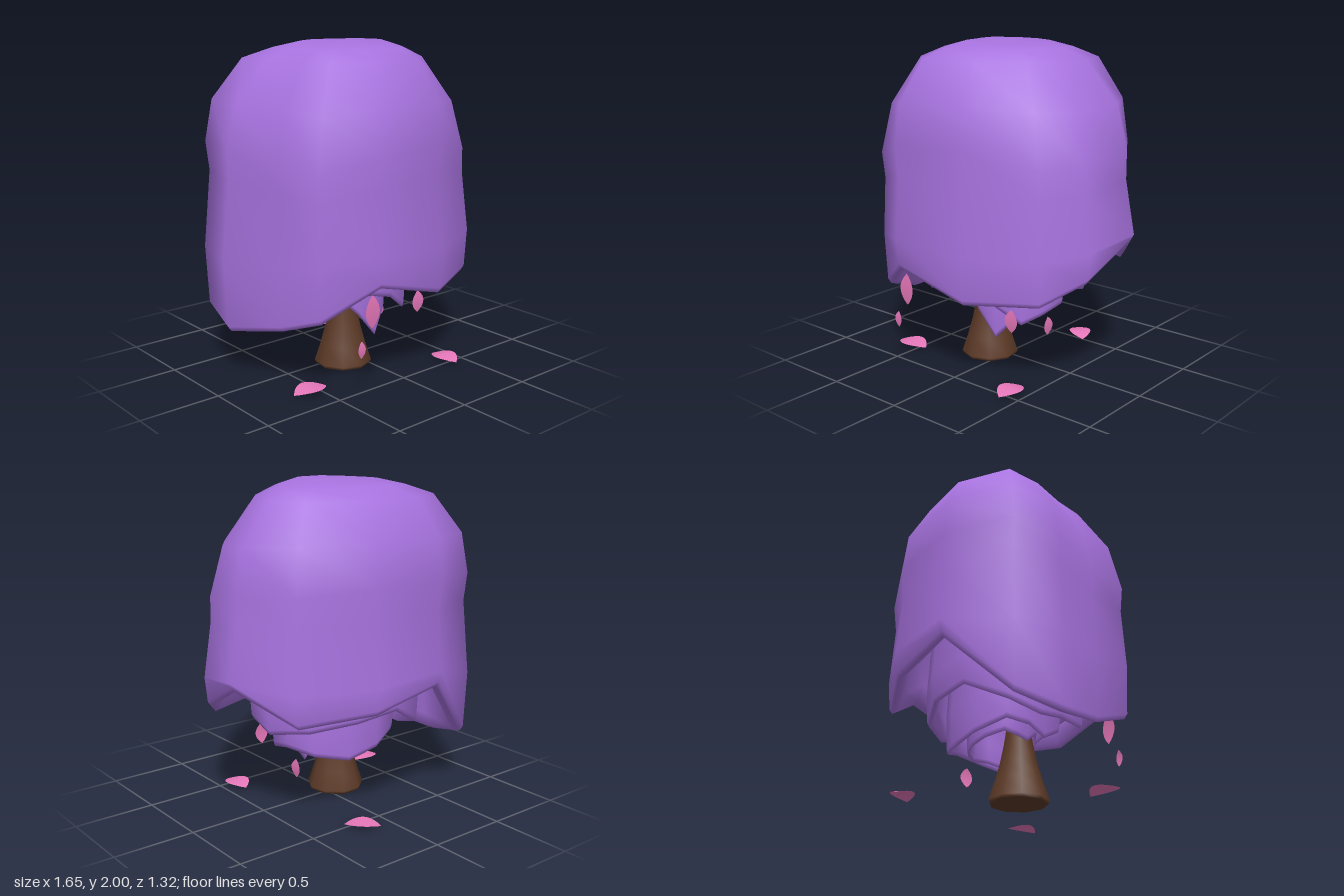
import * as THREE from 'three';
import { mergeVertices } from 'three/addons/utils/BufferGeometryUtils.js';

const foliageMat = new THREE.MeshStandardMaterial({ color: 0xa873e0 });
const barkMat = new THREE.MeshStandardMaterial({ color: 0x5e3b28 });
const petalMat = new THREE.MeshStandardMaterial({ color: 0xe878bb, side: THREE.DoubleSide });

// Outline of the canopy seen from above: x, z, narrowing at the crown, sag of the flank
const OUTLINE = [
  [-0.34, -0.66, -0.07, 0], [0.15, -0.66, -0.02, 0], [0.58, -0.46, -0.02, 0.03], [0.825, -0.16, 0.14, 0.03],
  [0.77, 0.2, 0.2, 0.09], [0.6, 0.43, 0.19, 0.09], [0.18, 0.63, 0, 0], [-0.32, 0.655, -0.02, 0.03],
  [-0.62, 0.47, 0.07, 0.12], [-0.69, 0.18, 0.08, 0.1], [-0.83, -0.17, 0.1, 0.05], [-0.77, -0.47, 0, 0.02],
];

// Rows from the outer top, down to the rim and back up inside: [scale, y, blend to rim, rise, narrowing, sag]
const ROWS = [
  [0, 1.935, 0, 0, 0, 0], [0.15, 1.955, 0, 0, 0.5, 0], [0.33, 1.997, 0, 0, 1, 0], [0.52, 1.96, 0, 0, 1, 0],
  [0.72, 1.9, 0, 0, 1, 0], [0.92, 1.67, 0, 0, 0.57, 0.45], [0.965, 1.43, 0, 0, 0.37, 1],
  [0.945, 1.25, 0, 0, 0.2, 0.8], [1, 0.93, 0.3, 0, 0, 0], [0.98, 0, 1, 0.03, 0, 0], [0.955, 0, 1, 0, 0, 0],
  [0.9, 0, 1, 0.02, 0, 0], [0.86, 0, 1, 0.12, 0, 0], [0.83, 1.3, 0, 0, 0.4, 0], [0.6, 1.7, 0, 0, 0.8, 0],
  [0, 1.8, 0, 0, 0, 0],
];

// Thick bell-shaped shell with an uneven rim
function shell(name, size, height, rims) {
  const n = OUTLINE.length, last = ROWS.length - 1, pos = [], index = [];
  ROWS.forEach(([scale, rowY, blend, rise, narrow, droop], r) => {
    const pole = r === 0 || r === last;
    OUTLINE.forEach(([x, z, taper, sag], i) => {
      const base = pole ? 0.5 : rims[i];
      const y = THREE.MathUtils.lerp(rowY, rims[i], blend) + rise - sag * droop;
      const s = scale * size * (1 - taper * narrow + 0.5 * sag * droop);
      pos.push(x * s, base + (y - base) * (blend === 1 ? 1 : height), z * s);
      if (r === last) return;
      const a = r * n + i, b = r * n + (i + 1) % n;
      if (r > 0) index.push(a, b, a + n);
      if (r < last - 1) index.push(b, b + n, a + n);
    });
  });
  let geo = new THREE.BufferGeometry();
  geo.setAttribute('position', new THREE.Float32BufferAttribute(pos, 3));
  geo.setIndex(index);
  geo = mergeVertices(geo, 1e-4);
  geo.computeVertexNormals();
  const mesh = new THREE.Mesh(geo, foliageMat);
  mesh.name = name;
  return mesh;
}

// Pointed petal along local y, facing z, bowed by the given depth
function petal(name, length, width, bow) {
  const geo = new THREE.PlaneGeometry(1, 1, 4, 10);
  const p = geo.attributes.position;
  for (let i = 0; i < p.count; i++) {
    const t = p.getY(i);
    const half = Math.pow(Math.max(0, Math.cos(Math.PI * t)), 0.85);
    p.setXYZ(i, p.getX(i) * width * half, t * length, bow * (1 - 4 * t * t));
  }
  geo.computeVertexNormals();
  const mesh = new THREE.Mesh(geo, petalMat);
  mesh.name = name;
  return mesh;
}

export function createModel() {
  const tree = new THREE.Group();
  tree.name = 'tree';

  // Nested layers of foliage, largest first
  tree.add(
    shell('outerCanopy', 1, 1, [0.79, 0.7, 0.65, 0.85, 0.67, 0.55, 0.53, 0.66, 0.46, 0.36, 0.3, 0.37]),
    shell('middleCanopy', 0.65, 0.75, [0.6, 0.58, 0.54, 0.52, 0.56, 0.54, 0.54, 0.6, 0.43, 0.44, 0.39, 0.45]),
    shell('innerCanopy', 0.47, 0.55, [0.35, 0.31, 0.35, 0.4, 0.36, 0.31, 0.44, 0.5, 0.42, 0.35, 0.38, 0.4]),
    shell('coreCanopy', 0.29, 0.35, [0.36, 0.34, 0.33, 0.33, 0.33, 0.3, 0.17, 0.33, 0.42, 0.36, 0.36, 0.38]),
  );

  // Flared trunk
  const profile = [[0, 0], [0.17, 0], [0.18, 0.02], [0.143, 0.13], [0.112, 0.24], [0.087, 0.36], [0.05, 0.6], [0, 0.62]];
  const trunk = new THREE.Mesh(
    new THREE.LatheGeometry(profile.map(([r, y]) => new THREE.Vector2(r, y)), 9), barkMat);
  trunk.name = 'trunk';
  trunk.position.set(-0.105, 0, 0.05);
  tree.add(trunk);

  // Falling petals: x, y, z, length, width, turn about y
  [
    [-0.32, 0.51, 0.57, 0.2, 0.105, 0],
    [-0.4, 0.3, 0.57, 0.105, 0.055, 0],
    [0.29, 0.375, 0.31, 0.145, 0.095, 0],
    [0.285, 0.24, -0.05, 0.12, 0.085, Math.PI / 2],
  ].forEach(([x, y, z, length, width, turn], i) => {
    const leaf = petal('fallingPetal' + (i + 1), length, width, 0.006);
    leaf.position.set(x, y, z);
    leaf.rotation.y = turn;
    tree.add(leaf);
  });

  // Petals lying on the ground: x, z, length, width, turn
  [
    [-0.56, 0.3, 0.235, 0.16, Math.PI / 2],
    [0.4, 0.45, 0.21, 0.155, 0],
    [0.175, -0.555, 0.22, 0.14, Math.PI / 4],
  ].forEach(([x, z, length, width, turn], i) => {
    const leaf = petal('groundPetal' + (i + 1), length, width, 0.022);
    leaf.rotation.set(-Math.PI / 2, 0, turn);
    leaf.position.set(x, 0.01, z);
    tree.add(leaf);
  });

  return tree;
}
